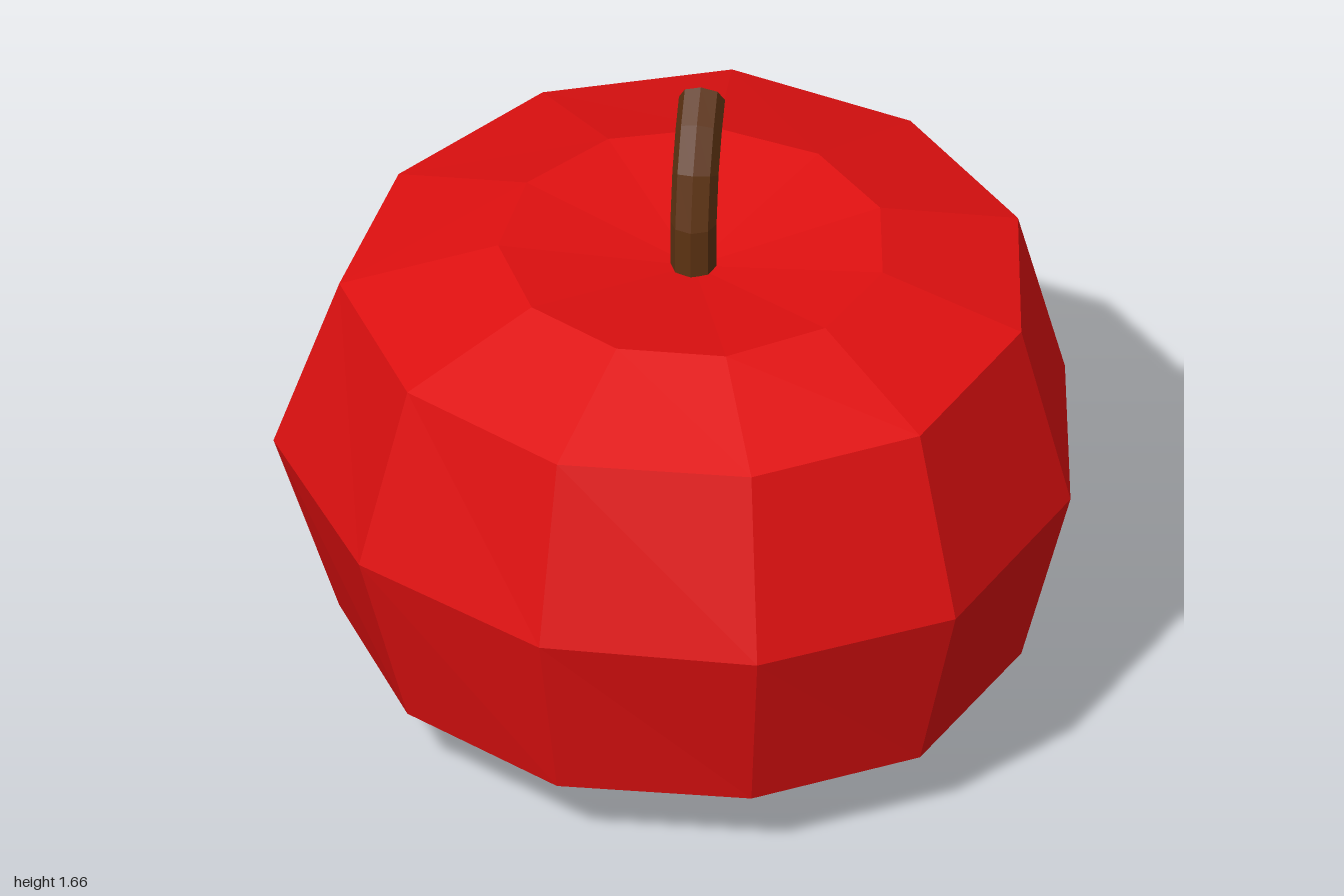
import * as THREE from 'three';

// Skin a stack of rings (bottom to top, each running back -> +x -> front) with flat facets
function loft(rings) {
  const pos = [];
  const tri = (a, b, c) => {
    const area = b.clone().sub(a).cross(c.clone().sub(a)).length();
    if (area > 1e-7) for (const p of [a, b, c]) pos.push(p.x, p.y, p.z);
  };
  for (let i = 0; i < rings.length - 1; i++) {
    const lo = rings[i], hi = rings[i + 1], n = lo.length;
    for (let k = 0; k < n; k++) {
      const j = (k + 1) % n;
      tri(lo[k], hi[k], hi[j]);
      tri(lo[k], hi[j], lo[j]);
    }
  }
  const g = new THREE.BufferGeometry();
  g.setAttribute('position', new THREE.Float32BufferAttribute(pos, 3));
  g.computeVertexNormals();
  return g;
}

const CX = 0.03, CZ = 0.05, SIDES = 11;

// Regular ring; tilt leans its axis towards the back
function ring(n, r, y, z = CZ, tilt = 0) {
  return Array.from({ length: n }, (_, k) => {
    const a = (k / n) * Math.PI * 2, back = r * Math.cos(a);
    return new THREE.Vector3(CX + r * Math.sin(a), y - Math.sin(tilt) * back, z - Math.cos(tilt) * back);
  });
}

// Slightly uneven ring from [x, z] pairs; the rearmost corner may sit higher
const uneven = (pts, y, lift = 0, lift1 = 0) =>
  pts.map(([x, z], k) => new THREE.Vector3(x, y + (k === 0 ? lift : k === 1 ? lift1 : 0), z));

export function createModel() {
  const red = new THREE.MeshStandardMaterial({ color: 0xe01010 });
  red.name = 'red skin';
  const brown = new THREE.MeshStandardMaterial({ color: 0x5c3212 });
  brown.name = 'brown stem';

  const equator = [[0.02, -1], [0.55, -0.78], [0.9, -0.34], [0.98, 0.21], [0.76, 0.74], [0.3, 0.99],
    [-0.24, 0.98], [-0.72, 0.69], [-0.99, 0.2], [-0.87, -0.34], [-0.51, -0.8]];
  const shoulder = [[0.02, -0.82], [0.48, -0.66], [0.79, -0.29], [0.855, 0.18], [0.66, 0.64], [0.27, 0.86],
    [-0.21, 0.865], [-0.61, 0.61], [-0.83, 0.18], [-0.74, -0.29], [-0.43, -0.67]];

  // Faceted fruit with a shallow hollow at each end
  const body = new THREE.Mesh(loft([
    ring(SIDES, 0, 0.05),
    ring(SIDES, 0.48, 0),
    uneven(shoulder, 0.21, 0.07, 0.02),
    uneven(equator, 0.71, 0.06),
    uneven(shoulder, 1.185),
    ring(SIDES, 0.48, 1.29),
    ring(SIDES, 0, 1.22),
  ]), red);
  body.name = 'fruitBody';

  // Eight-sided stem bending to the back
  const r = 0.057;
  const stem = new THREE.Mesh(loft([
    ring(8, 0, 1.2, 0.055),
    ring(8, r, 1.2, 0.055),
    ring(8, r, 1.355, 0.055, 0.1),
    ring(8, r, 1.475, 0.015, 0.49),
    ring(8, r, 1.555, -0.05, 0.9),
    ring(8, r, 1.605, -0.12, 1.12),
    ring(8, 0, 1.605, -0.12),
  ]), brown);
  stem.name = 'stem';

  const group = new THREE.Group();
  group.name = 'fruit';
  group.add(body, stem);
  return group;
}
